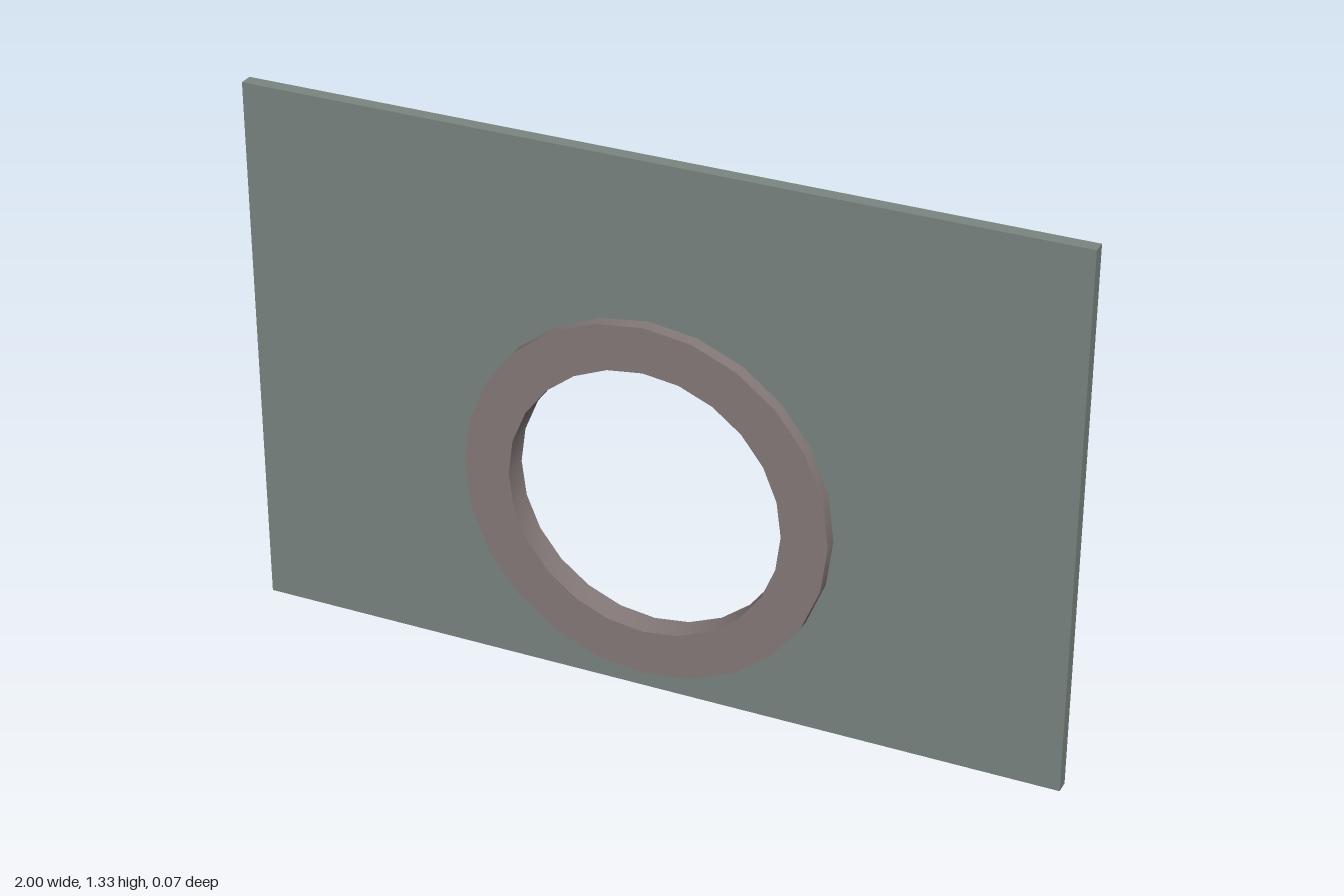
import * as THREE from 'three';
import { toCreasedNormals } from 'three/addons/utils/BufferGeometryUtils.js';

const SIDES = 24;
const WIDTH = 2, HEIGHT = 1.333, THICK = 0.033;
const CENTRE_Y = 0.503, OUTER = 0.447, INNER = 0.335;

// Points of a regular polygon around the opening
function circlePoints(radius) {
  return Array.from({ length: SIDES }, (_, i) => {
    const a = (i / SIDES) * Math.PI * 2;
    return new THREE.Vector2(Math.cos(a) * radius, CENTRE_Y + Math.sin(a) * radius);
  });
}

// Extruded outline with a round hole, from zBack to zFront
function holedSlab(name, outline, holeRadius, zBack, zFront, color) {
  const shape = new THREE.Shape(outline);
  shape.holes.push(new THREE.Path(circlePoints(holeRadius)));
  const flat = new THREE.ExtrudeGeometry(shape, { depth: zFront - zBack, bevelEnabled: false });
  const geometry = toCreasedNormals(flat, Math.PI / 6);
  geometry.translate(0, 0, zBack);
  const mesh = new THREE.Mesh(geometry, new THREE.MeshStandardMaterial({ color }));
  mesh.name = name;
  return mesh;
}

export function createModel() {
  const model = new THREE.Group();
  model.name = 'panelWithRoundOpening';

  // Flat wall panel behind z = 0
  const w = WIDTH / 2;
  const rectangle = [[-w, 0], [w, 0], [w, HEIGHT], [-w, HEIGHT]]
    .map(([x, y]) => new THREE.Vector2(x, y));
  model.add(holedSlab('panel', rectangle, INNER + 0.002, -THICK, 0, 0x7a8680));

  // Raised ring that also lines the opening; its back sits just inside the panel face
  model.add(holedSlab('ring', circlePoints(OUTER), INNER, -THICK + 0.0005, THICK, 0x857a79));

  return model;
}
